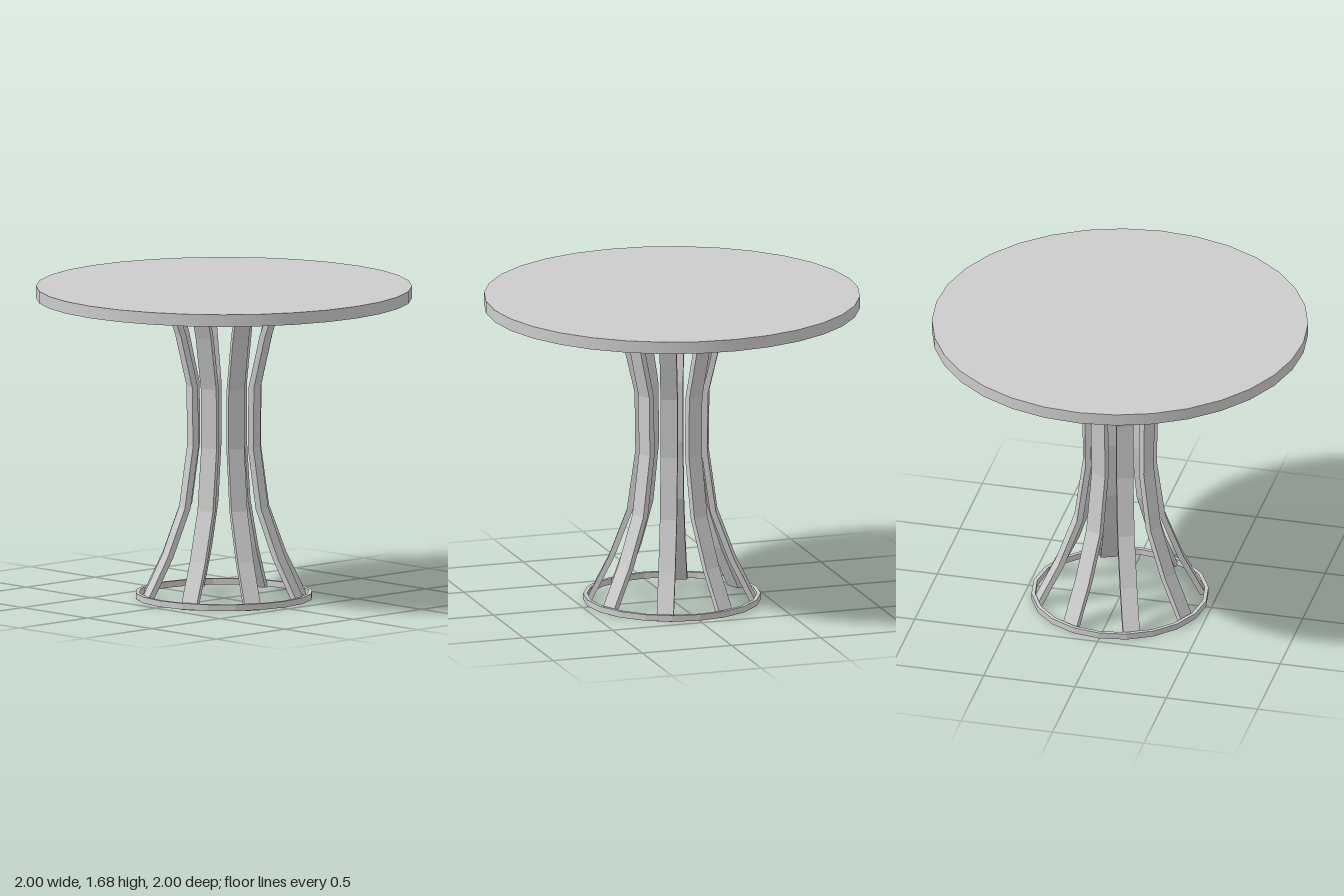
import * as THREE from 'three';

const DEG = Math.PI / 180;

// Leg centre line as [radius, height], from the floor to the underside of the top
const LEG_PATH = [
  [0.44, 0], [0.32, 0.24], [0.222, 0.5], [0.176, 0.83],
  [0.18, 1.15], [0.245, 1.43], [0.31, 1.62],
];
const LEG_COUNT = 8, LEG_WIDTH = 0.09, LEG_THICKNESS = 0.032;

function legGeometry() {
  const h = LEG_THICKNESS / 2;
  const outer = LEG_PATH.map(([r, y]) => new THREE.Vector2(r + h, y));
  const inner = LEG_PATH.map(([r, y]) => new THREE.Vector2(r - h, y)).reverse();
  const geometry = new THREE.ExtrudeGeometry(new THREE.Shape([...outer, ...inner]), {
    depth: LEG_WIDTH, bevelEnabled: false,
  });
  return geometry.translate(0, 0, -LEG_WIDTH / 2);
}

export function createModel() {
  const table = new THREE.Group();
  table.name = 'roundTable';
  const smooth = new THREE.MeshStandardMaterial({ color: 0xcccccc });
  const flat = new THREE.MeshStandardMaterial({ color: 0xcccccc, flatShading: true });

  // Round top
  const top = new THREE.Mesh(new THREE.CylinderGeometry(1, 1, 0.065, 32), smooth);
  top.name = 'tableTop';
  top.position.y = 1.6475;
  top.rotation.y = 1.3 * DEG;
  table.add(top);

  // Eight curved flat legs around the axis
  const legs = new THREE.Group();
  legs.name = 'legs';
  legs.rotation.y = -0.7 * DEG;
  const geometry = legGeometry();
  for (let i = 0; i < LEG_COUNT; i++) {
    const leg = new THREE.Mesh(geometry, flat);
    leg.name = 'leg' + (i + 1);
    leg.rotation.y = (22.5 + i * 45) * DEG;
    legs.add(leg);
  }
  table.add(legs);

  // Thin ring around the feet
  const section = [[0.472, 0.004], [0.472, 0.037], [0.452, 0.037], [0.452, 0.004], [0.472, 0.004]]
    .map(([r, y]) => new THREE.Vector2(r, y));
  const ring = new THREE.Mesh(new THREE.LatheGeometry(section, 20), flat);
  ring.name = 'baseRing';
  table.add(ring);

  return table;
}
